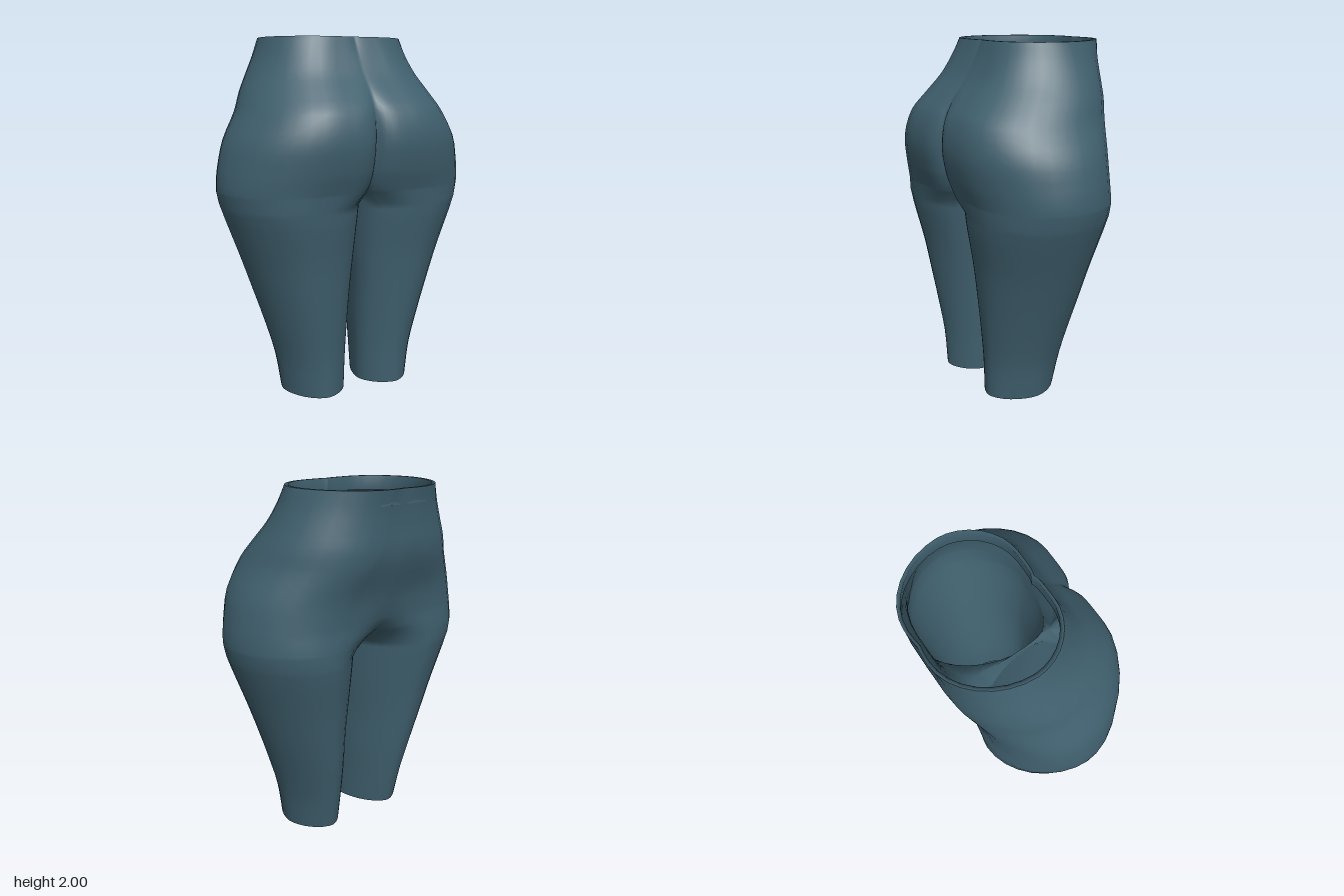
import * as THREE from 'three';
import { mergeVertices } from 'three/addons/utils/BufferGeometryUtils.js';

// Leg sections: y, inner x, outer x, outer side z, inner side z, front z, back z
const LEG = [
  [0, .055, .4, .06, .13, .29, -.15], [.2, .05, .43, .055, .13, .295, -.19],
  [.4, .042, .487, .05, .13, .315, -.23], [.6, .035, .553, .04, .14, .337, -.265],
  [.8, .02, .622, .04, .14, .36, -.3], [1, .009, .695, .04, .14, .395, -.34],
  [1.1, .004, .73, .04, .14, .407, -.357],
];
// Hip sections: y, outer x, side z, front peak x, z, front centre z, back peak x, z, back centre z
const HIP = [
  [1.17, .745, .04, .34, .414, .31, .37, -.358, -.19],
  [1.22, .745, .04, .31, .43, .35, .36, -.355, -.27],
  [1.3, .735, .03, .28, .454, .385, .34, -.35, -.333],
  [1.45, .695, .02, .26, .477, .407, .28, -.37, -.38],
  [1.6, .608, -.01, .25, .445, .395, .2, -.425, -.43],
  [1.7, .562, -.06, .22, .367, .35, .15, -.448, -.45],
  [1.8, .508, -.1, .2, .28, .275, .12, -.452, -.452],
  [1.9, .458, -.11, .18, .222, .217, .11, -.458, -.457],
  [2, .42, -.1, .15, .18, .168, .1, -.475, -.467],
];
const PEAK = 7, SIDE = 8, INNER = 6, SPLIT = .6;

// Smoothly interpolate a table of sections
function refine(rows, steps) {
  const out = [];
  for (let i = 0; i < rows.length - 1; i++) {
    const a = rows[Math.max(i - 1, 0)], b = rows[i], c = rows[i + 1];
    const d = rows[Math.min(i + 2, rows.length - 1)];
    const slope = (p, q, k) => (q[k] - p[k]) / (q[0] - p[0]);
    for (let s = 0; s < steps; s++) {
      const t = s / steps, h = c[0] - b[0];
      out.push(b.map((v, k) => k === 0 ? v + h * t :
        v * (2 * t ** 3 - 3 * t * t + 1) + c[k] * (3 * t * t - 2 * t ** 3) +
        h * slope(a, c, k) * (t ** 3 - 2 * t * t + t) + h * slope(b, d, k) * (t ** 3 - t * t)));
    }
  }
  out.push(rows[rows.length - 1]);
  return out;
}

// Quarter superellipse from a peak (f = 0) to a side (f = 1); larger e is less full
function quarter(y, xp, zp, xs, zs, f, e) {
  const a = f * Math.PI / 2;
  return [xp + (xs - xp) * Math.sin(a) ** e, y, zs + (zp - zs) * Math.cos(a) ** e];
}

// Joins the four stretches of the outer arc, front centre to back centre
function outerArc(front, back, y, xf, zf, xb, zb, xo, zs, e) {
  const p = [];
  for (let k = 0; k < PEAK; k++) p.push(front(1 - k / PEAK));
  for (let k = 0; k < SIDE; k++) p.push(quarter(y, xf, zf, xo, zs, k / SIDE, e));
  for (let k = 0; k < SIDE; k++) p.push(quarter(y, xb, zb, xo, zs, 1 - k / SIDE, e));
  for (let k = 0; k <= PEAK; k++) p.push(back(k / PEAK));
  return p;
}

function legRing([y, xi, xo, zs, zi, zf, zb]) {
  const xm = (xi + xo) / 2, e = 1.17 - .1 * y;
  const front = t => quarter(y, xm, zf, xi, zi, t, 1.15 - .35 * y);
  const back = t => quarter(y, xm, zb, xi, zi, t, e);
  const p = outerArc(u => front(u * SPLIT), u => back(u * SPLIT), y, xm, zf, xm, zb, xo, zs, e);
  for (let k = 1; k <= INNER; k++) p.push(back(SPLIT + (1 - SPLIT) * k / INNER));
  for (let k = 1; k <= INNER; k++) p.push(front(1 - (1 - SPLIT) * k / INNER));
  return p;
}

// Sharp cleft at the front centre, soft curve at the back centre
function hipArc([y, xo, zs, xf, zf, cf, xb, zb, cb]) {
  const front = s => {
    const u = 1 - (1 - s) ** 1.5;
    return [xf * (1 - u), y, zf + (cf - zf) * u ** 6];
  };
  const back = u => [xb * (1 - u), y, zb + (cb - zb) * u ** 2];
  return outerArc(front, back, y, xf, zf, xb, zb, xo, zs, 1.05);
}

// Crotch seam: closes the lowest hip arc along the centre line
function seamRing(row) {
  const p = hipArc(row), n = 2 * INNER;
  for (let k = 1; k <= n; k++) {
    const t = k / n;
    p.push([0, row[0] - .04 * Math.sin(Math.PI * t), row[8] + (row[5] - row[8]) * t]);
  }
  return p;
}

// Skin strips of rings, mirrored onto both sides
function loft(strips) {
  const pos = [], index = [];
  for (const m of [1, -1]) {
    for (const rings of strips) {
      const base = pos.length / 3, n = rings[0].length;
      rings.forEach(r => r.forEach(p => pos.push(m * p[0], p[1], p[2])));
      for (let i = 0; i < rings.length - 1; i++) {
        for (let j = 0; j < n - 1; j++) {
          const a = base + i * n + j, b = a + 1, c = a + n, d = c + 1;
          if (m > 0) index.push(a, b, c, b, d, c);
          else index.push(a, c, b, b, c, d);
        }
      }
    }
  }
  let g = new THREE.BufferGeometry();
  g.setAttribute('position', new THREE.Float32BufferAttribute(pos, 3));
  g.setIndex(index);
  g = mergeVertices(g, 1e-5);
  g.computeVertexNormals();
  return g;
}

// Folded edge: flat lip, then a short wall inside
function hem(ring, cx, cz, dy) {
  const inset = (s, h) => ring.map(([x, y, z]) => [cx + (x - cx) * s, y + h, cz + (z - cz) * s]);
  const lip = [ring, inset(.95, 0)], wall = [inset(.95, 0), inset(.97, dy)];
  return dy < 0 ? [lip, wall] : [lip.reverse(), wall.reverse()];
}

export function createModel() {
  const group = new THREE.Group();
  const fabric = new THREE.MeshStandardMaterial({ color: 0x3f5f6d, side: THREE.DoubleSide });
  fabric.name = 'slate blue fabric';
  const add = (name, geometry) => {
    const mesh = new THREE.Mesh(geometry, fabric);
    mesh.name = name;
    group.add(mesh);
  };

  // Continuous garment: two legs joined to the hips
  const legs = refine(LEG, 3).map(legRing);
  const hips = refine(HIP, 3).map(hipArc);
  add('trousers', loft([[...legs, seamRing(HIP[0])], hips]));

  // Open edges
  add('waistHem', loft(hem(hips[hips.length - 1], 0, -.14, -.08)));
  add('ankleHems', loft(hem(legs[0], .23, .07, .08)));
  return group;
}
